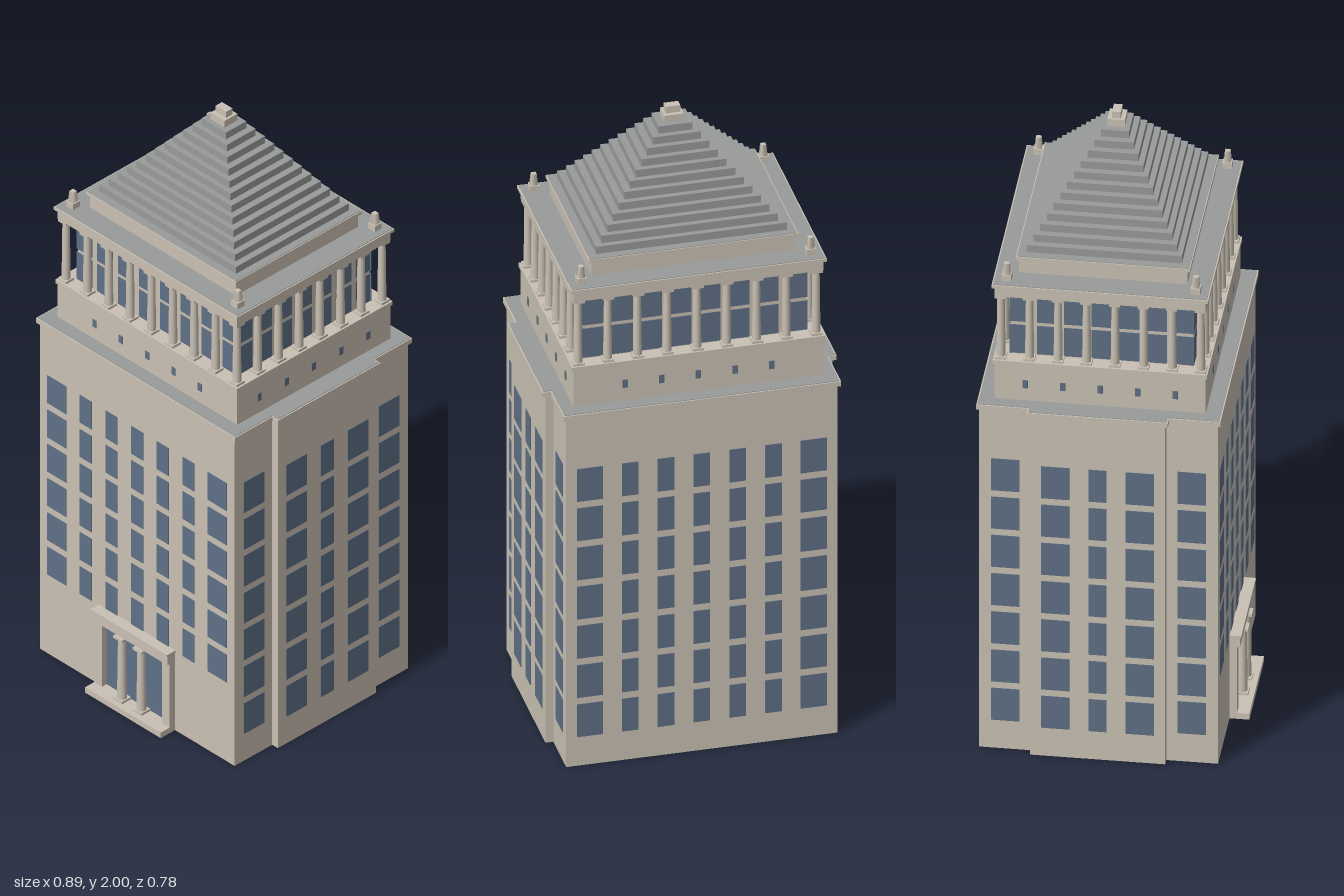
import * as THREE from 'three';

export function createModel() {
  const model = new THREE.Group();
  model.name = 'tower';
  const mat = (name, color) => {
    const m = new THREE.MeshStandardMaterial({ color });
    m.name = name;
    return m;
  };
  const stone = mat('stone', 0xcac1b4);
  const slate = mat('slate', 0x999b9b);
  const glass = mat('glass', 0x5f7085);

  // The tower axis sits slightly behind the origin because of the front porch
  const tower = new THREE.Group();
  tower.name = 'towerBody';
  tower.position.z = -0.026;
  model.add(tower);

  const add = (name, geo, material, x, y, z, parent = tower) => {
    const m = new THREE.Mesh(geo, material);
    m.name = name;
    m.position.set(x, y, z);
    parent.add(m);
    return m;
  };
  // Box given by half width, half depth, bottom and top
  const block = (name, hx, hz, y0, y1, material = stone, x = 0, z = 0, parent = tower) =>
    add(name, new THREE.BoxGeometry(hx * 2, y1 - y0, hz * 2), material, x, (y0 + y1) / 2, z, parent);

  // Thin pane on one of four sides: u runs along the wall, d is the wall distance
  const pane = (side, u, d, y0, y1, w) => {
    const t = 0.004;
    const alongX = side === 'front' || side === 'back';
    const s = side === 'front' || side === 'left' ? 1 : -1;
    if (alongX) block('window', w / 2, t / 2, y0, y1, glass, u, s * d);
    else block('window', t / 2, w / 2, y0, y1, glass, s * d, u);
  };

  // Main shaft with a projecting bay on each flank
  block('shaft', 0.412, 0.355, 0, 1.185);
  block('sideBays', 0.436, 0.201, 0, 1.185);
  block('shaftCornice', 0.422, 0.363, 1.182, 1.198);
  block('bayCornice', 0.447, 0.21, 1.182, 1.198);
  block('terrace', 0.418, 0.359, 1.198, 1.2, slate);
  block('bayTerrace', 0.443, 0.206, 1.198, 1.2, slate);

  // Shaft windows
  const frontCols = [[-0.34, 0.08], [0.34, 0.08]];
  for (let i = -2; i <= 2; i++) frontCols.push([i * 0.109, 0.05]);
  for (const [u, w] of frontCols) {
    for (let r = 0; r < 6; r++) {
      const y = 0.287 + r * 0.1243;
      pane('front', u, 0.355, y, y + 0.1, w);
    }
    for (let r = 0; r < 7; r++) {
      const y = 0.098 + r * 0.1335;
      pane('back', u, 0.355, y, y + 0.111, w);
    }
  }
  const sideCols = [[-0.277, 0.084], [-0.126, 0.084], [0, 0.053], [0.126, 0.084], [0.277, 0.084]];
  for (const side of ['left', 'right']) {
    for (const [u, w] of sideCols) {
      for (let r = 0; r < 7; r++) {
        const y = 0.098 + r * 0.1335;
        pane(side, u, Math.abs(u) > 0.2 ? 0.412 : 0.436, y, y + 0.111, w);
      }
    }
  }

  // Podium with small square windows
  block('podium', 0.38, 0.314, 1.198, 1.322);
  block('podiumLedge', 0.385, 0.319, 1.322, 1.335);
  for (let i = -2; i <= 2; i++) {
    for (const side of ['front', 'back']) pane(side, i * 0.1115, 0.314, 1.243, 1.27, 0.016);
    for (const side of ['left', 'right']) pane(side, i * 0.1115, 0.38, 1.243, 1.27, 0.016);
  }

  // Glazed lantern room behind the colonnade
  block('lanternRoom', 0.338, 0.272, 1.335, 1.555);
  for (const [y0, y1] of [[1.338, 1.436], [1.448, 1.55]]) {
    for (let i = 0; i < 8; i++)
      for (const side of ['front', 'back']) pane(side, (i - 3.5) * 0.0885, 0.272, y0, y1, 0.066);
    for (let i = 0; i < 7; i++)
      for (const side of ['left', 'right']) pane(side, (i - 3) * 0.081, 0.338, y0, y1, 0.062);
  }

  // Colonnade
  const column = (x, z, y0, y1, r, parent) => {
    const g = new THREE.Group();
    g.name = 'column';
    parent.add(g);
    block('columnBase', r * 1.25, r * 1.25, y0, y0 + 0.008, stone, x, z, g);
    add('columnShaft', new THREE.CylinderGeometry(r * 0.82, r, y1 - y0 - 0.016, 16),
      stone, x, (y0 + y1) / 2, z, g);
    block('columnCapital', r * 1.25, r * 1.25, y1 - 0.008, y1, stone, x, z, g);
  };
  const cx = 0.362, cz = 0.297;
  for (const s of [-1, 1]) {
    for (let i = 0; i < 9; i++) column(-cx + (i * 2 * cx) / 8, s * cz, 1.335, 1.555, 0.0135, tower);
    for (let i = 1; i < 7; i++) column(s * cx, -cz + (i * 2 * cz) / 7, 1.335, 1.555, 0.0135, tower);
  }

  // Entablature and upper terrace
  block('entablature', 0.38, 0.314, 1.555, 1.588);
  block('entablatureCornice', 0.389, 0.322, 1.588, 1.598);
  block('upperTerrace', 0.385, 0.318, 1.598, 1.6, slate);

  // Corner finials
  for (const sx of [-1, 1]) {
    for (const sz of [-1, 1]) {
      block('finialBase', 0.014, 0.014, 1.6, 1.62, stone, sx * 0.349, sz * 0.281);
      const post = add('finialPost', new THREE.CylinderGeometry(0.011, 0.015, 0.036, 4, 1),
        stone, sx * 0.349, 1.638, sz * 0.281);
      post.geometry.rotateY(Math.PI / 4);
    }
  }

  // Attic and stepped pyramid roof
  block('attic', 0.309, 0.25, 1.6, 1.648);
  block('atticCap', 0.318, 0.259, 1.648, 1.658);
  block('atticRoof', 0.315, 0.256, 1.658, 1.66, slate);
  for (let i = 0; i < 12; i++)
    block('roofStep', 0.29 - i * 0.0217, 0.231 - i * 0.0172, 1.66 + i * 0.0245, 1.6845 + i * 0.0245, slate);
  block('apexBase', 0.03, 0.026, 1.954, 1.978);
  block('apexCap', 0.022, 0.013, 1.978, 2);

  // Entrance porch
  const porch = new THREE.Group();
  porch.name = 'entrancePorch';
  model.add(porch);
  block('step', 0.16, 0.031, 0, 0.02, stone, 0, 0.357, porch);
  block('lintel', 0.16, 0.0175, 0.25, 0.282, stone, 0, 0.3425, porch);
  block('lintelCap', 0.162, 0.02, 0.282, 0.29, stone, 0, 0.344, porch);
  for (const s of [-1, 1]) {
    block('pier', 0.0165, 0.0125, 0.02, 0.25, stone, s * 0.1435, 0.3385, porch);
    column(s * 0.041, 0.352, 0.02, 0.25, 0.015, porch);
  }
  block('entranceGlass', 0.127, 0.002, 0.02, 0.25, glass, 0, 0.33, porch);

  return model;
}
